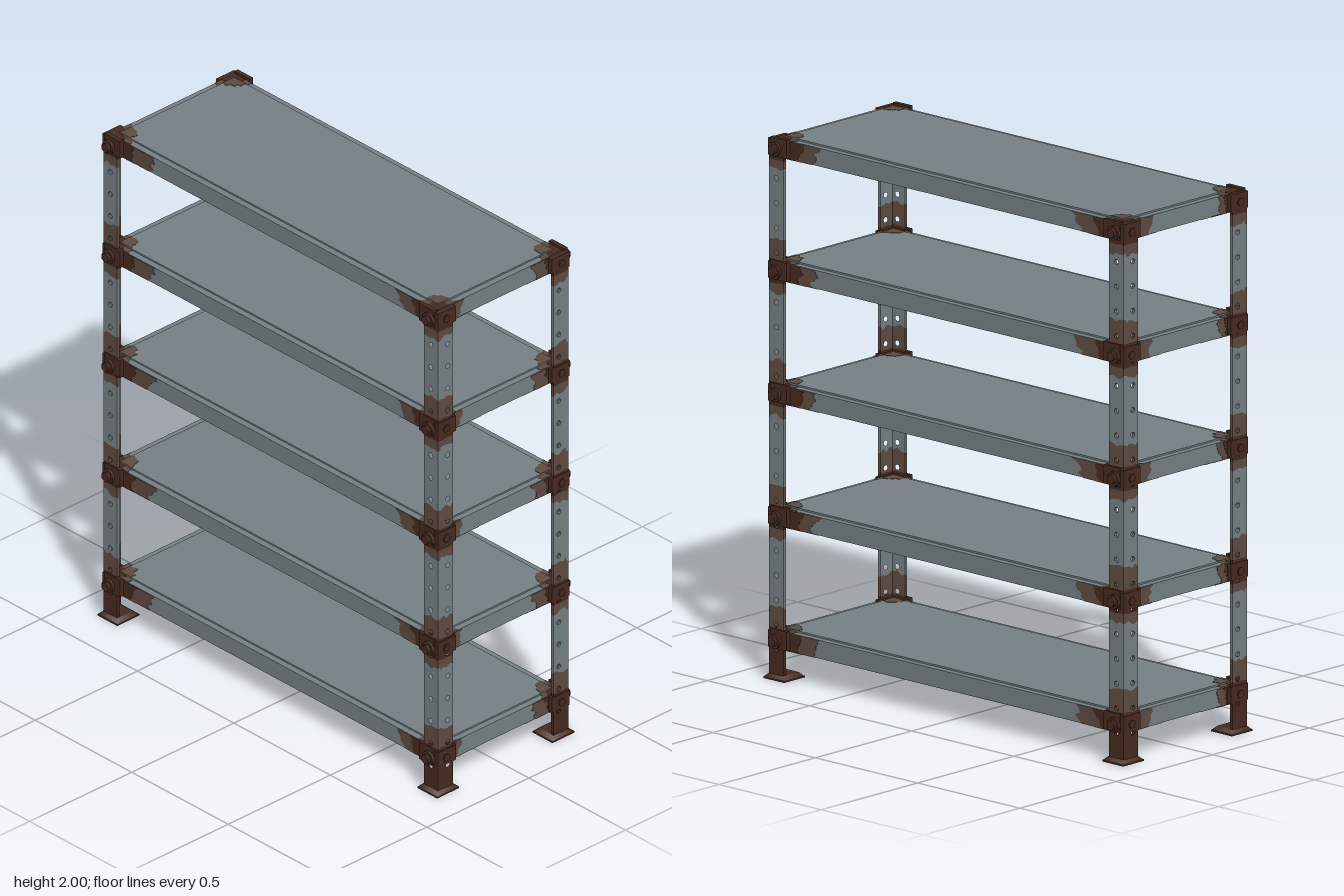
import * as THREE from 'three';
import { mergeGeometries } from 'three/addons/utils/BufferGeometryUtils.js';

const materials = {
  steel: new THREE.MeshStandardMaterial({ name: 'steel', color: 0x757f83 }),
  rust: new THREE.MeshStandardMaterial({ name: 'lightRust', color: 0x5e4b40 }),
  dark: new THREE.MeshStandardMaterial({ name: 'darkRust', color: 0x462a20 }),
};

const LEVELS = [0.186, 0.6395, 1.093, 1.5465, 2.0]; // shelf top heights
const HX = 0.85, HZ = 0.305, SHELF = 0.075;         // shelf half sizes, thickness
const OX = 0.867, OZ = 0.32, WALL = 0.012;          // post outer faces, wall
const POST_TOP = 1.937;
const HOLES = Array.from({ length: 20 }, (_, i) => 0.11 + i * 0.0915);
const SIGNS = [[1, 1], [1, -1], [-1, 1], [-1, -1]];

export function createModel() {
  const model = new THREE.Group();
  model.name = 'shelvingUnit';

  let seed = 7;
  const rand = () => {
    seed = (seed * 16807) % 2147483647;
    return (seed / 2147483647) * 2 - 1;
  };

  // Flat plate from an outline, with round holes
  function plate(points, depth, holes = []) {
    const shape = new THREE.Shape(points.map(([a, b]) => new THREE.Vector2(a, b)));
    for (const [a, b] of holes) {
      const hole = new THREE.Path();
      hole.absarc(a, b, 0.01, 0, Math.PI * 2, true);
      shape.holes.push(hole);
    }
    return new THREE.ExtrudeGeometry(shape, { depth, bevelEnabled: false, curveSegments: 5 });
  }
  // Place a plate so that it is centred on a plane facing z, x or y
  const facing = {
    z: (g, at, depth) => g.translate(0, 0, at - depth / 2),
    x: (g, at, depth) => g.rotateY(-Math.PI / 2).translate(at + depth / 2, 0, 0),
    y: (g, at, depth) => g.rotateX(Math.PI / 2).translate(0, at + depth / 2, 0),
  };
  const slab = (axis, points, at, depth, holes) => facing[axis](plate(points, depth, holes), at, depth);

  function box(x0, x1, y0, y1, z0, z1) {
    return new THREE.BoxGeometry(Math.abs(x1 - x0), y1 - y0, Math.abs(z1 - z0))
      .translate((x0 + x1) / 2, (y0 + y1) / 2, (z0 + z1) / 2);
  }

  // One mesh per colour inside a named group
  function addPart(name, sets) {
    const part = new THREE.Group();
    part.name = name;
    for (const [key, list] of Object.entries(sets)) {
      if (!list.length) continue;
      const plain = list.map((g) => (g.index ? g.toNonIndexed() : g));
      const mesh = new THREE.Mesh(mergeGeometries(plain), materials[key]);
      mesh.name = name + '_' + materials[key].name;
      part.add(mesh);
    }
    model.add(part);
  }

  // Colour bands along a post: upper end, colour, raggedness of that end
  const bands = [];
  LEVELS.forEach((y, i) => {
    if (i > 0) {
      bands.push([y - 0.12, 'steel', 0.01], [y - 0.085, 'rust', 0.002]);
    }
    if (i < 4) bands.push([y + 0.003, 'dark', 0.002], [y + 0.085, 'rust', 0.01]);
    else bands.push([POST_TOP, 'dark', 0]);
  });

  // One perforated flange of an angle post, split into its colour bands
  function flange(axis, outer, inner, at, sets) {
    const mid = outer - Math.sign(outer) * 0.036;
    const edge = (y, rag) => [0, 0.25, 0.5, 0.75, 1].map(
      (t) => [outer + (inner - outer) * t, y + rand() * rag]);
    let low = edge(0, 0), y0 = 0;
    for (const [y, key, rag] of bands) {
      const high = edge(y, rag);
      const holes = HOLES.filter((h) => h > y0 && h < y).map((h) => [mid, h]);
      sets[key].push(slab(axis, [...low, ...high.slice().reverse()], at, WALL, holes));
      low = high;
      y0 = y;
    }
  }

  // Four angle posts with feet
  for (const [sx, sz] of SIGNS) {
    const sets = { steel: [], rust: [], dark: [] };
    flange('z', sx * OX, sx * 0.795, sz * (OZ - WALL / 2), sets);
    flange('x', sz * (OZ - WALL), sz * 0.245, sx * (OX - WALL / 2), sets);
    addPart('post', sets);

    const skirt = new THREE.CylinderGeometry(0.052, 0.072, 0.014, 4, 1)
      .rotateY(Math.PI / 4).translate(sx * 0.829, 0.013, sz * 0.282);
    addPart('foot', { dark: [
      box(sx * 0.778, sx * 0.88, 0, 0.006, sz * 0.228, sz * 0.336), skirt,
    ] });
  }

  // Rust patch running in from the end of a shelf edge
  function edgePatch(axis, end, reach, rag, y, at, depth) {
    const s = Math.sign(end);
    const pts = [[end, y - SHELF], [end, y - 0.01]];
    for (let i = 0; i <= 5; i++) {
      pts.push([s * (reach + rand() * rag + (i - 2.5) * rag * 0.4), y - 0.01 - (SHELF - 0.01) * i / 5]);
    }
    return slab(axis, pts, at, depth);
  }
  // Ragged quarter-round rust patch at a shelf corner
  function cornerPatch(sx, sz, x, z, radius, at, depth) {
    const pts = [[sx * x, sz * z]];
    for (let i = 0; i <= 9; i++) {
      const a = (i / 9) * Math.PI / 2;
      const r = radius * (1 + rand() * 0.13);
      pts.push([sx * (x - Math.cos(a) * r), sz * (z - Math.sin(a) * r)]);
    }
    return slab('y', pts, at, depth);
  }

  for (const y of LEVELS) {
    // Shelf: tray with a slightly raised, inset deck
    const sets = {
      steel: [
        box(-HX, HX, y - SHELF, y - 0.008, -HZ, HZ),
        box(-0.825, 0.825, y - 0.008, y - 0.002, -0.28, 0.28),
      ],
      rust: [],
      dark: [],
    };
    // Rust around every corner of the shelf
    for (const [sx, sz] of SIGNS) {
      sets.rust.push(
        edgePatch('z', sx * HX, sx < 0 ? 0.63 : 0.66, 0.018, y, sz * HZ, 0.003),
        edgePatch('x', sz * HZ, sz < 0 ? 0.165 : 0.195, 0.01, y, sx * HX, 0.003),
        cornerPatch(sx, sz, HX, HZ, 0.19, y - SHELF, 0.003),
        cornerPatch(sx, sz, HX, HZ, 0.095, y - 0.008, 0.003),
        cornerPatch(sx, sz, 0.825, 0.28, 0.06, y - 0.002, 0.003));
      sets.dark.push(
        edgePatch('z', sx * HX, 0.725, 0.012, y, sz * HZ, 0.005),
        edgePatch('x', sz * HZ, 0.225, 0.008, y, sx * HX, 0.005),
        cornerPatch(sx, sz, HX, HZ, 0.135, y - SHELF, 0.005),
        cornerPatch(sx, sz, HX, HZ, 0.06, y - 0.008, 0.005));
    }
    addPart('shelf', sets);

    // Corner brackets with bolts
    for (const [sx, sz] of SIGNS) {
      const cy = y - 0.042;
      const bolt = (r, from, to, sides) => new THREE.CylinderGeometry(r, r, to - from, sides)
        .rotateX(Math.PI / 2).translate(sx * 0.829, cy, sz * (from + to) / 2);
      const sideBolt = new THREE.CylinderGeometry(0.016, 0.016, 0.006, 6)
        .rotateZ(Math.PI / 2).translate(sx * 0.872, cy, sz * 0.282);
      addPart('bracket', { dark: [
        box(sx * 0.775, sx * 0.854, y - 0.07, y, sz * 0.309, sz * 0.326),
        box(sx * 0.853, sx * 0.87, y - 0.07, y - 0.008, sz * 0.235, sz * 0.322),
        bolt(0.027, 0.326, 0.337, 12),
        bolt(0.019, 0.337, 0.349, 6),
        sideBolt,
      ] });
    }
  }
  return model;
}
